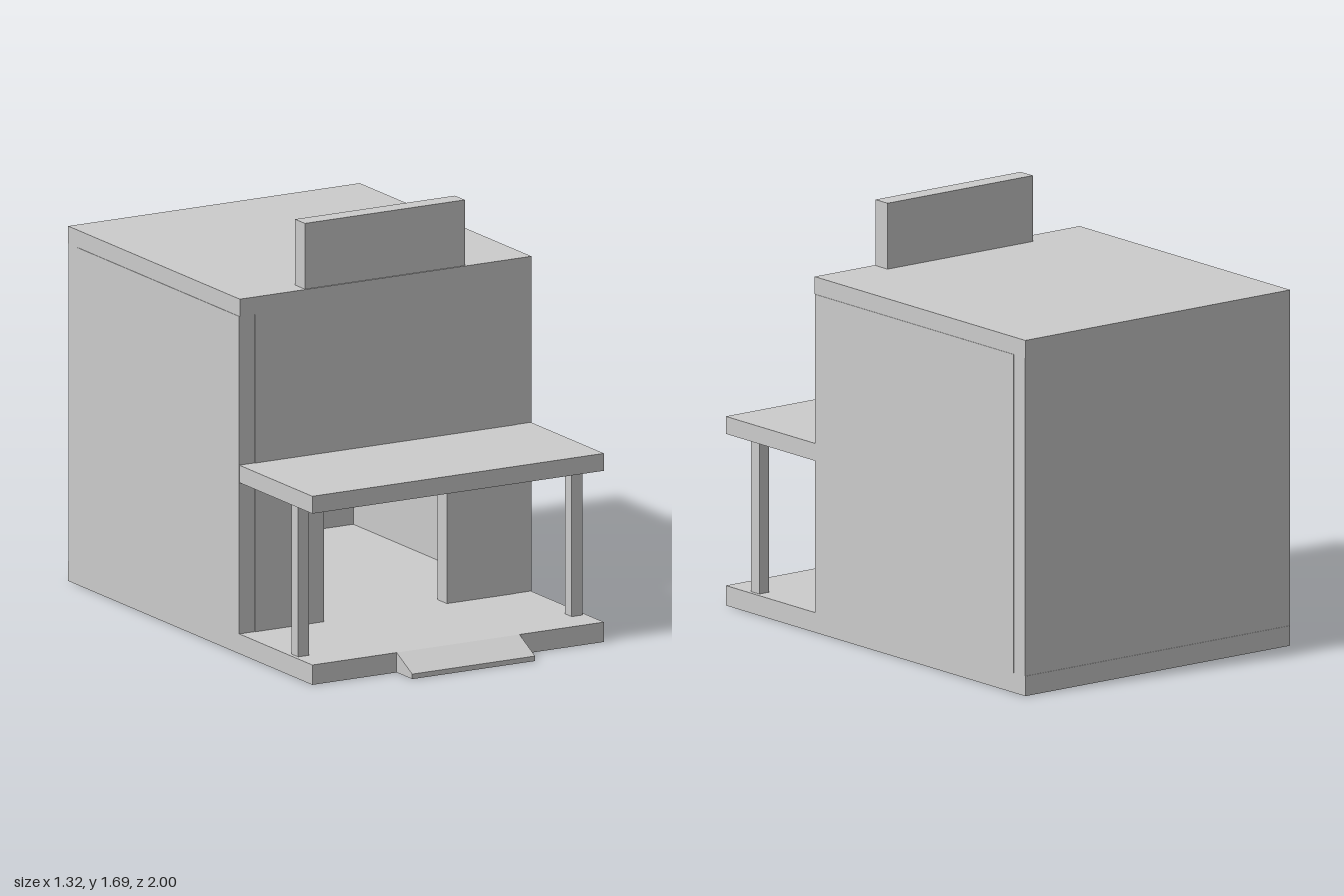
import * as THREE from 'three';

export function createModel() {
  const model = new THREE.Group();
  const material = new THREE.MeshStandardMaterial({ color: 0xcccccc, flatShading: true });

  // Box given by its lower and upper limits on each axis
  function block(name, [x0, x1], [y0, y1], [z0, z1]) {
    const mesh = new THREE.Mesh(new THREE.BoxGeometry(x1 - x0, y1 - y0, z1 - z0), material);
    mesh.position.set((x0 + x1) / 2, (y0 + y1) / 2, (z0 + z1) / 2);
    mesh.name = name;
    model.add(mesh);
  }

  const W = 0.66;      // half width of the building
  const inner = 0.59;  // half width between the side walls
  const door = 0.278;  // half width of the doorway
  const floorTop = 0.08, lintel = 0.57, eaves = 1.36, top = 1.43;
  const front = 0.318, wallBack = 0.25, porchFront = 0.88;

  // Floor running out under the porch, roof and back wall
  block('floor', [-W, W], [0, floorTop], [-1, porchFront]);
  block('roof', [-W, W], [eaves, top], [-1, 0.322]);
  block('backWall', [-W, W], [floorTop, eaves], [-0.998, -0.93]);

  // Front wall above the doorway
  block('upperFrontWall', [-inner, inner], [lintel, eaves], [wallBack, 0.321]);

  // Mirrored parts: side walls, lower front walls and porch posts
  for (const side of [-1, 1]) {
    const label = side > 0 ? 'left' : 'right';
    const span = (a, b) => (side > 0 ? [a, b] : [-b, -a]);
    block(label + 'SideWall', span(inner, W + 0.002), [floorTop, eaves], [-0.93, front]);
    block(label + 'LowerFrontWall', span(door, inner), [floorTop, lintel], [wallBack, 0.321]);
    block(label + 'PorchPost', span(0.595, 0.643), [floorTop, 0.69], [0.69, 0.743]);
  }

  // Porch canopy and the blank sign board on the roof
  block('porchCanopy', [-W, W], [0.69, 0.76], [front, porchFront]);
  block('signBoard', [-0.362, 0.362], [top, 1.695], [0.24, 0.316]);

  // Entrance ramp: side profile (z, y) extruded across x
  const profile = new THREE.Shape([
    new THREE.Vector2(porchFront, 0),
    new THREE.Vector2(1, 0),
    new THREE.Vector2(1, 0.02),
    new THREE.Vector2(porchFront, floorTop),
  ]);
  const rampGeometry = new THREE.ExtrudeGeometry(profile, { depth: door * 2, bevelEnabled: false });
  rampGeometry.translate(0, 0, -door).rotateY(-Math.PI / 2);
  const ramp = new THREE.Mesh(rampGeometry, material);
  ramp.name = 'entranceRamp';
  model.add(ramp);

  return model;
}
